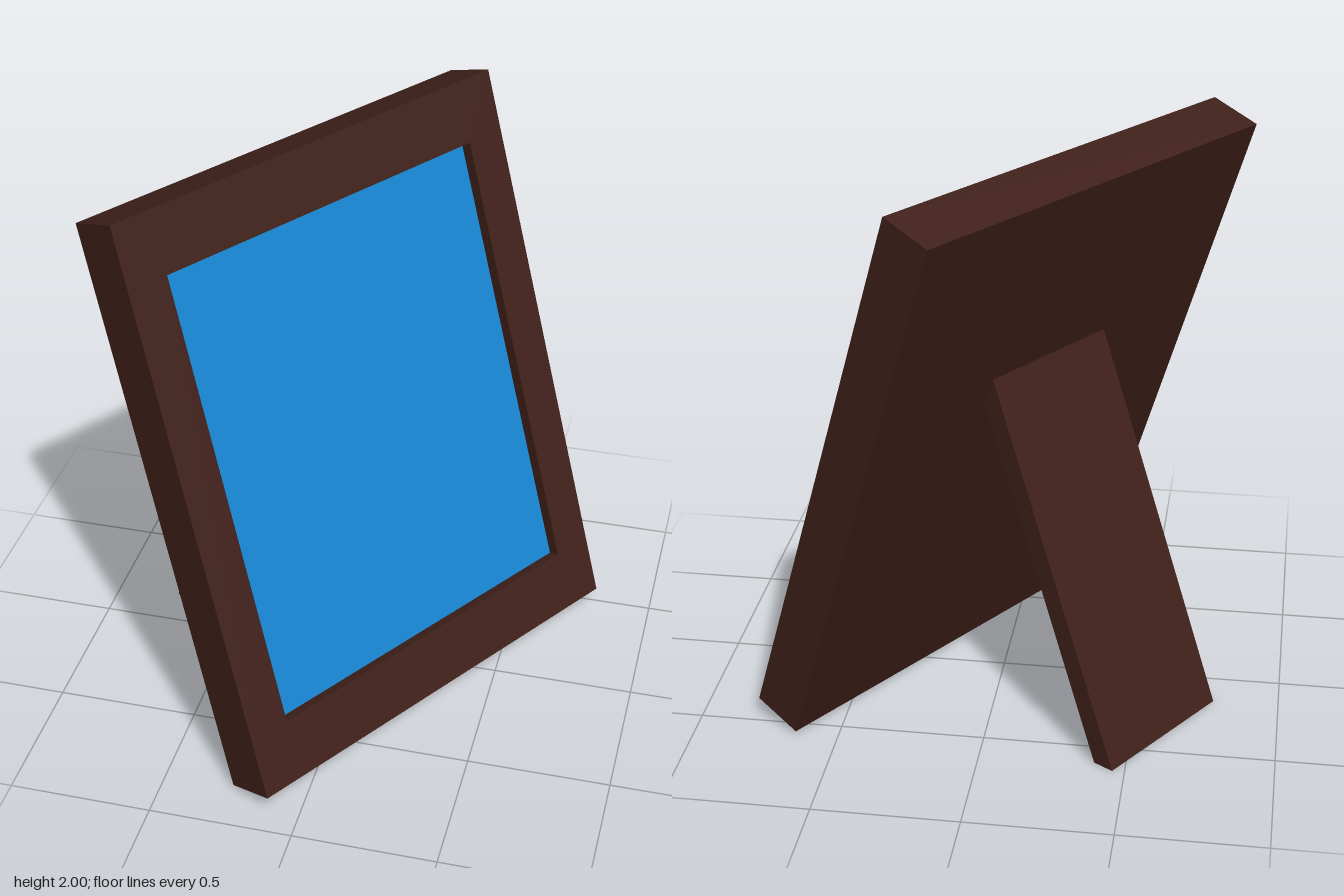
import * as THREE from 'three';

const WIDTH = 1.664, HEIGHT = 2.035, DEPTH = 0.19;
const SIDE = 0.155, RAIL = 0.217, RECESS = 0.042;
const LEAN = Math.atan2(0.66, 1.925);

const wood = new THREE.MeshStandardMaterial({ color: 0x40201a, flatShading: true });
const blue = new THREE.MeshStandardMaterial({ color: 0x1686d3, flatShading: true });

function addMesh(parent, name, geometry, material) {
  const mesh = new THREE.Mesh(geometry, material);
  mesh.name = name;
  parent.add(mesh);
  return mesh;
}

// Rectangle centred on x, from y0 to y1
function rectangle(PathType, width, y0, y1) {
  const w = width / 2;
  return new PathType([[-w, y0], [w, y0], [w, y1], [-w, y1]].map(([x, y]) => new THREE.Vector2(x, y)));
}

export function createModel() {
  const model = new THREE.Group();
  model.name = 'pictureFrame';
  // The whole frame is turned to one side
  const turned = new THREE.Group();
  turned.name = 'turnedFrame';
  turned.rotation.y = Math.atan2(0.841, 0.541);
  model.add(turned);

  // Leaning part, with its origin at the lower front edge
  const leaning = new THREE.Group();
  leaning.name = 'leaningFrame';
  leaning.position.set(0, 0.075, 0.413);
  leaning.rotation.x = -LEAN;
  turned.add(leaning);

  // Wooden border with a rectangular opening
  const outline = rectangle(THREE.Shape, WIDTH, 0, HEIGHT);
  const openingWidth = WIDTH - 2 * SIDE, openingHeight = HEIGHT - 2 * RAIL;
  outline.holes.push(rectangle(THREE.Path, openingWidth, RAIL, HEIGHT - RAIL));
  const border = new THREE.ExtrudeGeometry(outline, { depth: DEPTH, bevelEnabled: false });
  addMesh(leaning, 'border', border.translate(0, 0, -DEPTH), wood);

  // Picture set into the opening and the board closing the back
  const picture = 0.02, board = DEPTH - RECESS - picture;
  addMesh(leaning, 'picture', new THREE.BoxGeometry(openingWidth, openingHeight, picture), blue)
    .position.set(0, HEIGHT / 2, -RECESS - picture / 2);
  addMesh(leaning, 'backBoard', new THREE.BoxGeometry(openingWidth, openingHeight, board), wood)
    .position.set(0, HEIGHT / 2, -DEPTH + board / 2);

  // Slanted rear support: side profile (z, y) extruded across the width
  const profile = new THREE.Shape([[-0.731, 0], [-0.654, 0], [-0.155, 1.215], [-0.19, 1.318]]
    .map(([z, y]) => new THREE.Vector2(z, y)));
  const support = new THREE.ExtrudeGeometry(profile, { depth: 0.58, bevelEnabled: false });
  addMesh(turned, 'rearSupport', support.translate(0, 0, -0.29).rotateY(-Math.PI / 2), wood);

  return model;
}
